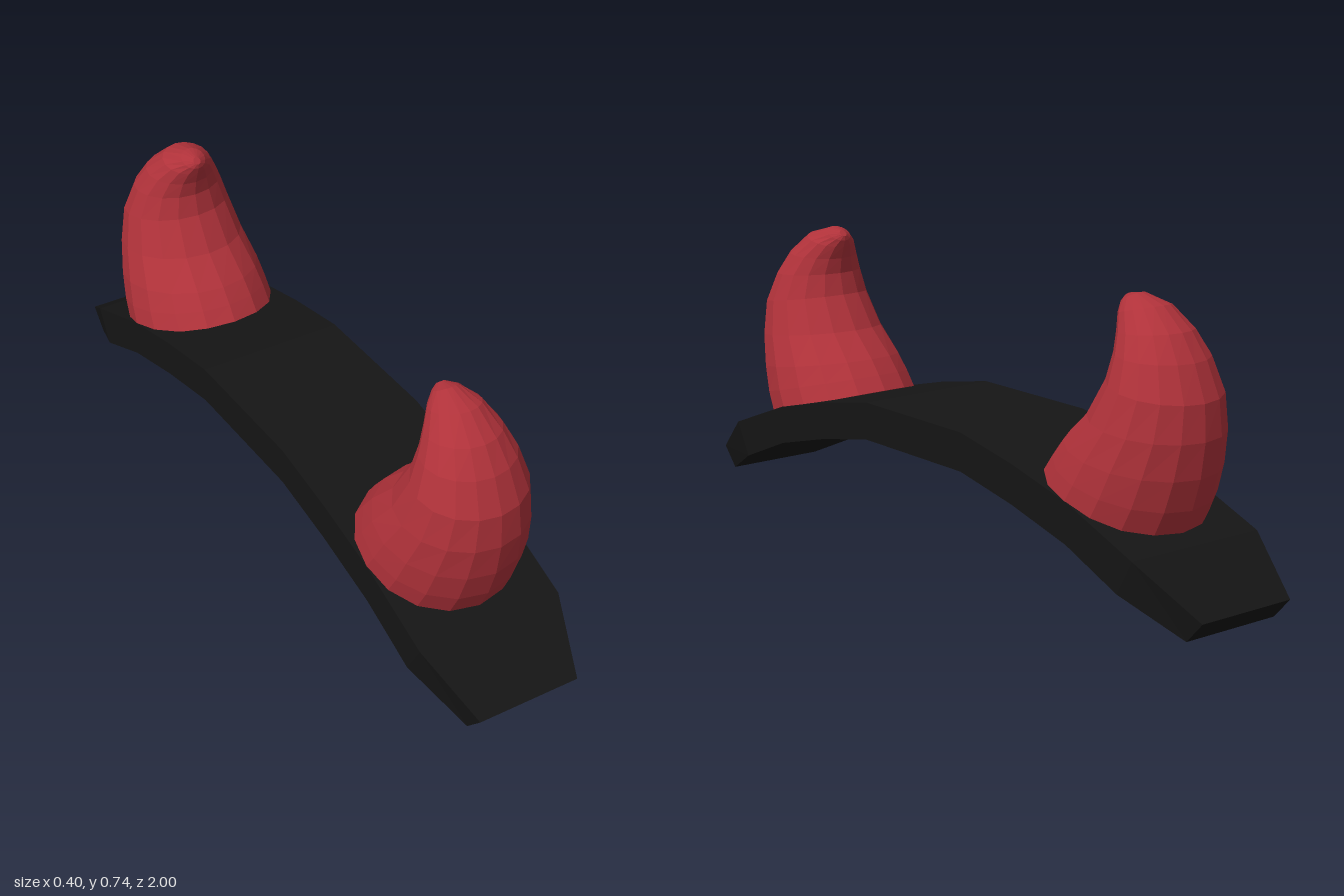
import * as THREE from 'three';

// Skins a list of equal-sized rings of [x, y, z] points and caps both ends.
function loft(rings) {
  const n = rings[0].length;
  const index = [];
  for (let i = 0; i < rings.length - 1; i++) {
    for (let j = 0; j < n; j++) {
      const k = (j + 1) % n;
      const a = i * n + j, b = i * n + k;
      index.push(a, b, b + n, a, b + n, a + n);
    }
  }
  const last = (rings.length - 1) * n;
  for (let j = 1; j < n - 1; j++) {
    index.push(0, j + 1, j);
    index.push(last, last + j, last + j + 1);
  }
  const geometry = new THREE.BufferGeometry();
  geometry.setAttribute('position', new THREE.Float32BufferAttribute(rings.flat(2), 3));
  geometry.setIndex(index);
  geometry.computeVertexNormals();
  return geometry;
}

// Arched band: half profile as [half width, top z, top y, bottom z, bottom y]
function bandGeometry() {
  const half = [
    [0.2, 0.2, 0.345, 0.2, 0.245],
    [0.2, 0.4, 0.307, 0.4, 0.206],
    [0.2, 0.6, 0.257, 0.6, 0.154],
    [0.2, 0.83, 0.17, 0.78, 0.08],
    [0.14, 1, 0.055, 0.95, 0],
  ];
  const ring = ([w, tz, ty, bz, by], s) => [
    [w, by, s * bz], [w, ty, s * tz], [-w, ty, s * tz], [-w, by, s * bz],
  ];
  return loft([
    ...half.map((p) => ring(p, -1)).reverse(),
    ...half.map((p) => ring(p, 1)),
  ]);
}

// Curved horn: each ring as [inner z, inner y, outer z, outer y, half width]
function hornGeometry() {
  const sides = 16;
  const profile = [
    [0.392, 0.312, 0.786, 0.19, 0.2],
    [0.42, 0.35, 0.815, 0.25, 0.196],
    [0.453, 0.389, 0.84, 0.33, 0.187],
    [0.528, 0.458, 0.853, 0.42, 0.168],
    [0.585, 0.55, 0.848, 0.51, 0.146],
    [0.598, 0.609, 0.812, 0.598, 0.121],
    [0.592, 0.651, 0.769, 0.662, 0.095],
    [0.58, 0.685, 0.705, 0.716, 0.065],
    [0.574, 0.703, 0.63, 0.737, 0.033],
    [0.574, 0.715, 0.59, 0.73, 0.01],
  ];
  return loft(profile.map(([iz, iy, oz, oy, w]) =>
    Array.from({ length: sides }, (_, j) => {
      const a = (j / sides) * Math.PI * 2;
      const t = (1 + Math.cos(a)) / 2;
      return [w * Math.sin(a), iy + (oy - iy) * t, iz + (oz - iz) * t];
    })));
}

export function createModel() {
  const model = new THREE.Group();
  model.name = 'hornedHeadband';
  const black = new THREE.MeshStandardMaterial({ color: 0x151515, flatShading: true });
  const red = new THREE.MeshStandardMaterial({ color: 0xb0323a, flatShading: true });

  const band = new THREE.Mesh(bandGeometry(), black);
  band.name = 'band';
  model.add(band);

  // The two horns face each other across the band
  const geometry = hornGeometry();
  for (const [name, turn] of [['frontHorn', 0], ['backHorn', Math.PI]]) {
    const horn = new THREE.Mesh(geometry, red);
    horn.name = name;
    horn.rotation.y = turn;
    model.add(horn);
  }
  return model;
}
